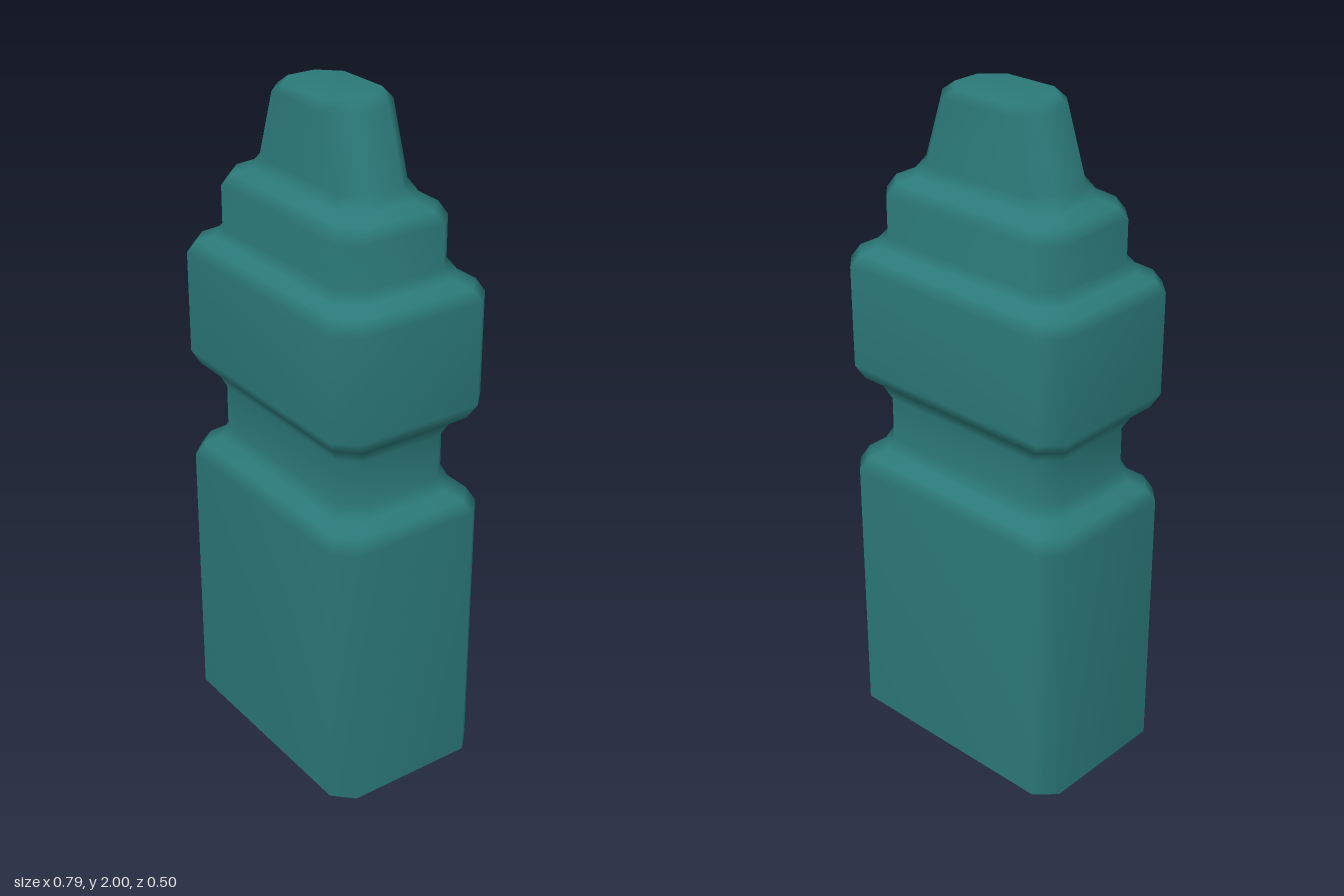
import * as THREE from 'three';

// Bottle profile from bottom to top: height, half width, half depth, corner chamfer
const PROFILE = [
  [0.00, 0.37, 0.228, 0.05], // base bevel
  [0.025, 0.397, 0.251, 0.055],
  [0.845, 0.397, 0.251, 0.055], // main body
  [0.885, 0.377, 0.231, 0.055], // lower shoulder
  [0.91, 0.343, 0.197, 0.055],
  [0.95, 0.323, 0.18, 0.055],
  [1.08, 0.323, 0.18, 0.055], // waist
  [1.12, 0.343, 0.197, 0.055],
  [1.145, 0.377, 0.231, 0.055],
  [1.185, 0.397, 0.251, 0.055], // upper body
  [1.485, 0.397, 0.251, 0.055],
  [1.52, 0.378, 0.232, 0.055], // upper shoulder
  [1.54, 0.34, 0.2, 0.055],
  [1.57, 0.317, 0.182, 0.055],
  [1.69, 0.317, 0.182, 0.055], // neck
  [1.725, 0.298, 0.163, 0.055],
  [1.745, 0.257, 0.131, 0.055],
  [1.78, 0.234, 0.111, 0.055], // tapered cap
  [1.975, 0.169, 0.111, 0.055],
  [2.00, 0.138, 0.097, 0.055],
];

// Rectangle with cut corners, as eight points running from +z round to +x
function ring([y, w, d, c]) {
  const quarter = [[w - c, d], [w, d - c]];
  return [
    ...quarter,
    [w, c - d], [w - c, -d],
    [c - w, -d], [-w, c - d],
    [-w, d - c], [c - w, d],
  ].map(([x, z]) => new THREE.Vector3(x, y, z));
}

// Skin the rings and cap both ends, weighting smooth normals by whole face area
function loft(rings) {
  const n = rings[0].length;
  const points = rings.flat();
  const normals = points.map(() => new THREE.Vector3());
  const index = [];

  function addFace(corners) {
    const area = new THREE.Vector3();
    for (let i = 1; i < corners.length - 1; i++) {
      const [a, b, c] = [corners[0], corners[i], corners[i + 1]];
      index.push(a, b, c);
      const ab = points[b].clone().sub(points[a]);
      area.add(ab.cross(points[c].clone().sub(points[a])));
    }
    corners.forEach((k) => normals[k].add(area));
  }

  for (let r = 0; r < rings.length - 1; r++) {
    for (let i = 0; i < n; i++) {
      const a = r * n + i;
      const b = r * n + (i + 1) % n;
      addFace([a, b, b + n, a + n]);
    }
  }
  const loop = [...Array(n).keys()];
  addFace([...loop].reverse());
  addFace(loop.map((i) => i + (rings.length - 1) * n));

  const geometry = new THREE.BufferGeometry().setFromPoints(points);
  const flat = normals.flatMap((v) => v.normalize().toArray());
  geometry.setAttribute('normal', new THREE.Float32BufferAttribute(flat, 3));
  geometry.setIndex(index);
  return geometry;
}

export function createModel() {
  const group = new THREE.Group();
  group.name = 'bottle';
  const material = new THREE.MeshStandardMaterial({ color: 0x2c7a7a });
  const shell = new THREE.Mesh(loft(PROFILE.map(ring)), material);
  shell.name = 'bottleShell';
  group.add(shell);
  return group;
}
